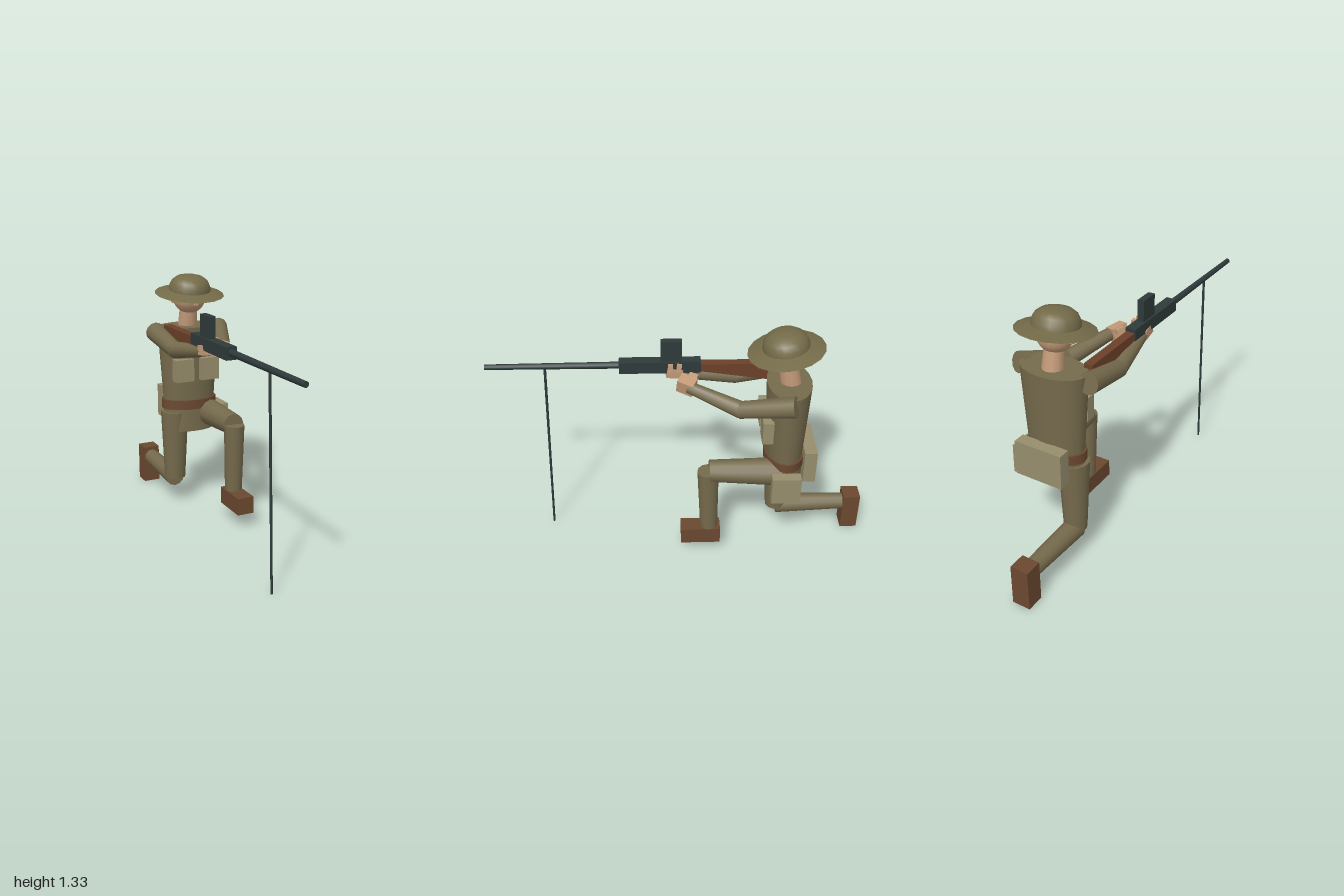
import * as THREE from 'three';

const mat = (name, color, extra = {}) => {
  const m = new THREE.MeshStandardMaterial({ color, ...extra });
  m.name = name;
  return m;
};

export function createModel() {
  const model = new THREE.Group();
  model.name = 'kneelingGunner';
  const cloth = mat('uniform', 0x756a4c);
  const steel = mat('helmet', 0x736a48, { side: THREE.DoubleSide });
  const canvas = mat('canvas', 0x968d6c);
  const skin = mat('skin', 0xc29a78);
  const leather = mat('leather', 0x6b4830);
  const wood = mat('wood', 0x6b4029);
  const metal = mat('gunMetal', 0x2f3a3a);

  const add = (name, geo, material, pos = [0, 0, 0], rot = [0, 0, 0]) => {
    const m = new THREE.Mesh(geo, material);
    m.name = name;
    m.position.set(...pos);
    m.rotation.set(...rot);
    model.add(m);
    return m;
  };
  // box given by its [min, max] extents on each axis
  const box = (name, material, x, y, z) =>
    add(name, new THREE.BoxGeometry(x[1] - x[0], y[1] - y[0], z[1] - z[0]), material,
      [x, y, z].map(([a, b]) => (a + b) / 2));
  // tapered round bar from point a (radius ra) to point b (radius rb)
  const limb = (name, material, a, b, ra, rb, sides = 12) => {
    const A = new THREE.Vector3(...a), B = new THREE.Vector3(...b);
    const dir = B.clone().sub(A);
    const m = add(name, new THREE.CylinderGeometry(rb, ra, dir.length(), sides), material);
    m.position.copy(A).add(B).multiplyScalar(0.5);
    m.quaternion.setFromUnitVectors(new THREE.Vector3(0, 1, 0), dir.normalize());
    return m;
  };
  // elliptical body section
  const section = (name, material, y0, y1, w0, w1, depth) => {
    const m = add(name, new THREE.CylinderGeometry(w1, w0, y1 - y0, 20), material, [0, (y0 + y1) / 2, -0.533]);
    m.scale.z = depth;
    return m;
  };

  // Body
  section('torso', cloth, 0.6, 1.045, 0.15, 0.18, 0.63);
  section('belt', leather, 0.575, 0.628, 0.162, 0.162, 0.66);
  section('pelvis', cloth, 0.445, 0.6, 0.155, 0.15, 0.66);
  for (const s of [-1, 1])
    box('chestPouch', canvas, s < 0 ? [-0.13, -0.022] : [0.022, 0.13], [0.747, 0.873], [-0.455, -0.4]);
  box('hipPouch', canvas, [0.16, 0.215], [0.42, 0.577], [-0.605, -0.455]);
  box('backPack', canvas, [-0.13, 0.13], [0.495, 0.68], [-0.69, -0.625]);

  // Head and neck
  limb('neck', skin, [0, 1.035, -0.54], [0, 1.15, -0.52], 0.054, 0.048);
  add('head', new THREE.SphereGeometry(0.092, 24, 16), skin, [0, 1.207, -0.508]);
  box('nose', skin, [-0.011, 0.011], [1.17, 1.21], [-0.425, -0.407]);
  for (const s of [-1, 1])
    add('ear', new THREE.BoxGeometry(0.024, 0.038, 0.028), skin, [s * 0.093, 1.2, -0.512], [0.15, 0, 0]);

  // Helmet: shallow wide brim and a low dome, tipped forward
  const lathe = pts => new THREE.LatheGeometry(pts.map(p => new THREE.Vector2(...p)), 18);
  add('helmetBrim', lathe([[0.193, 0], [0.15, 0.013], [0.108, 0.024]]), steel, [0, 1.225, -0.505], [0.15, 0, 0]);
  add('helmetDome', lathe([[0.117, 0.02], [0.114, 0.045], [0.1, 0.073], [0.075, 0.092], [0.04, 0.102], [0, 0.105]]),
    steel, [0, 1.225, -0.505], [0.15, 0, 0]);

  // Left leg, foot forward
  limb('leftThigh', cloth, [0.095, 0.54, -0.51], [0.092, 0.55, -0.135], 0.076, 0.059);
  limb('leftShin', cloth, [0.093, 0.55, -0.13], [0.093, 0.168, -0.14], 0.056, 0.047);
  box('leftBoot', leather, [0.046, 0.14], [0.079, 0.174], [-0.2, 0.013]);

  // Right leg, kneeling
  limb('rightThigh', cloth, [-0.093, 0.556, -0.525], [-0.095, 0.155, -0.53], 0.079, 0.06);
  limb('rightShin', cloth, [-0.095, 0.15, -0.53], [-0.095, 0.157, -0.915], 0.056, 0.045);
  box('rightBoot', leather, [-0.145, -0.048], [0, 0.22], [-1, -0.907]);

  // Arms
  limb('leftUpperArm', cloth, [0.192, 1.018, -0.545], [0.098, 0.942, -0.28], 0.054, 0.045);
  limb('leftForearm', cloth, [0.1, 0.942, -0.29], [-0.012, 1.01, -0.03], 0.045, 0.031);
  limb('rightUpperArm', cloth, [-0.194, 1.018, -0.545], [-0.188, 0.965, -0.27], 0.054, 0.045);
  limb('rightForearm', cloth, [-0.188, 0.965, -0.28], [-0.15, 1.01, 0.01], 0.045, 0.031);

  // Hands with blocky fingers
  add('leftHand', new THREE.BoxGeometry(0.066, 0.075, 0.085), skin, [-0.032, 1.01, -0.022], [-0.2, -0.42, -0.3]);
  add('leftThumb', new THREE.BoxGeometry(0.024, 0.024, 0.045), skin, [-0.062, 1.04, -0.055], [-0.2, -0.42, -0.3]);
  add('rightHand', new THREE.BoxGeometry(0.066, 0.05, 0.08), skin, [-0.144, 1.022, 0.04], [-0.15, 0.1, 0]);
  for (const z of [0.015, 0.06])
    add('rightFinger', new THREE.BoxGeometry(0.022, 0.042, 0.024), skin, [-0.103, 1.062, z], [-0.1, 0, 0.1]);

  // Gun
  const gx = -0.147;
  box('receiver', metal, [gx - 0.028, gx + 0.028], [1.024, 1.088], [-0.096, 0.32]);
  box('magazine', metal, [gx - 0.018, gx + 0.018], [1.08, 1.2], [0, 0.107]);
  limb('barrel', metal, [gx, 1.06, 0.31], [gx, 1.06, 1], 0.018, 0.014);
  limb('supportLeg', metal, [gx, 1.05, 0.697], [gx, 0, 0.742], 0.007, 0.006, 8);

  // Stock deepens toward the shoulder
  const side = new THREE.Shape([[0.09, 1.03], [0.47, 0.97], [0.47, 1.068], [0.09, 1.07]]
    .map(p => new THREE.Vector2(...p)));
  add('stock', new THREE.ExtrudeGeometry(side, { depth: 0.046, bevelEnabled: false }), wood,
    [gx - 0.023, 0, 0], [0, Math.PI / 2, 0]).position.z = 0;
  return model;
}
